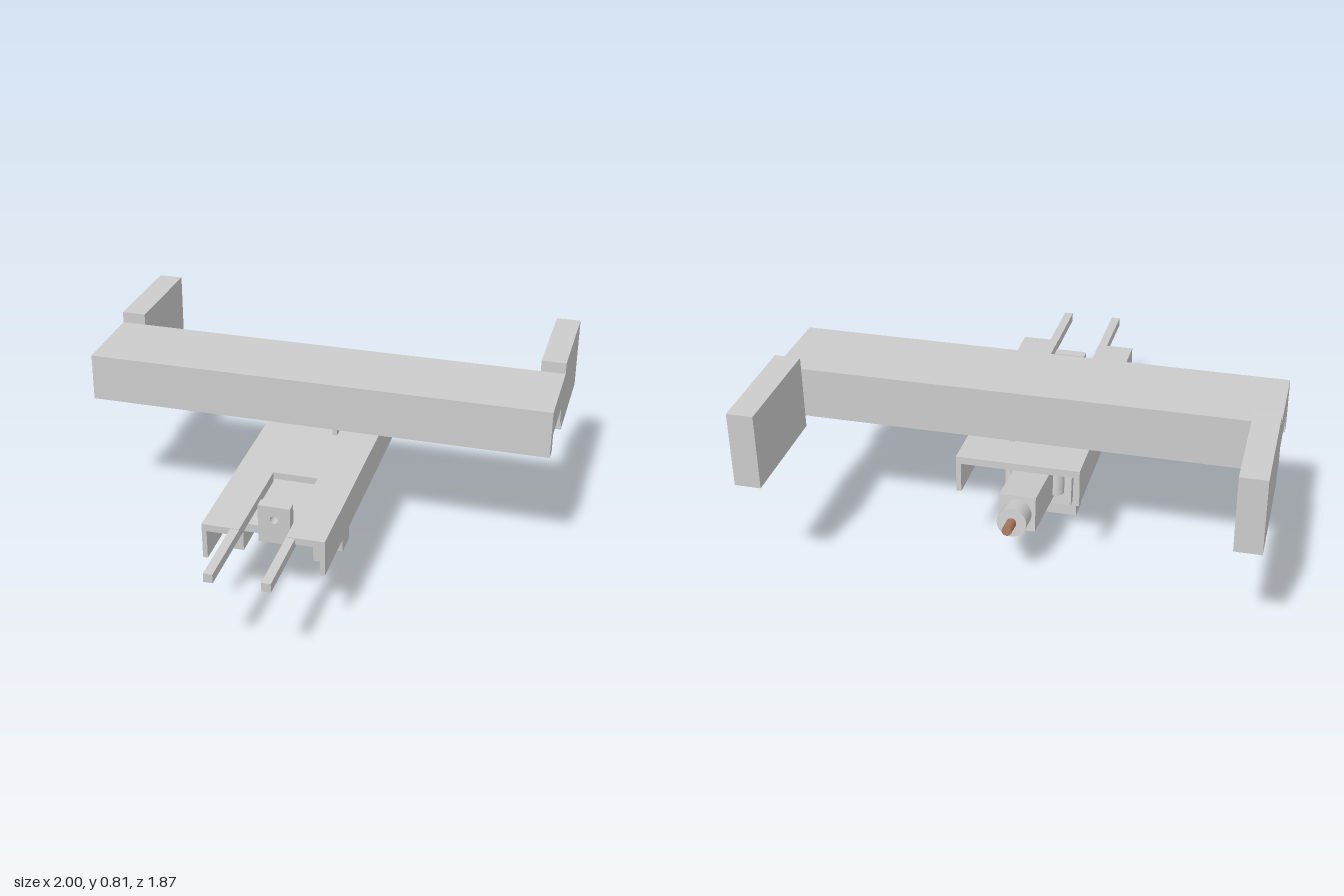
import * as THREE from 'three';

const steel = new THREE.MeshStandardMaterial({ color: 0xcccccc });
const rust = new THREE.MeshStandardMaterial({ color: 0xa87860 });

function add(parent, name, geometry, material = steel) {
  const mesh = new THREE.Mesh(geometry, material);
  mesh.name = name;
  parent.add(mesh);
  return mesh;
}

// Box given by its limits along each axis
function box(parent, name, [x0, x1], [y0, y1], [z0, z1]) {
  const mesh = add(parent, name, new THREE.BoxGeometry(x1 - x0, y1 - y0, z1 - z0));
  mesh.position.set((x0 + x1) / 2, (y0 + y1) / 2, (z0 + z1) / 2);
  return mesh;
}

// Cross-section in x and y, extruded from z0 to z1
function section(parent, name, points, z0, z1) {
  const shape = new THREE.Shape(points.map(([x, y]) => new THREE.Vector2(x, y)));
  const geometry = new THREE.ExtrudeGeometry(shape, { depth: z1 - z0, bevelEnabled: false });
  return add(parent, name, geometry.translate(0, 0, z0));
}

// Inverted U section, w is the half width
function channel(w, top, bottom, plate, wall) {
  return [[-w, top], [-w, bottom], [-w + wall, bottom], [-w + wall, top - plate],
    [w - wall, top - plate], [w - wall, bottom], [w, bottom], [w, top]];
}

// Upright lug plate with a round hole, lying in x and y, centred on z = 0
function lug(parent, name, w, y0, y1, holeY, holeR, depth) {
  const shape = new THREE.Shape([[-w, y0], [w, y0], [w, y1], [-w, y1]].map((p) => new THREE.Vector2(...p)));
  shape.holes.push(new THREE.Path().absarc(0, holeY, holeR, 0, Math.PI * 2, true));
  const geometry = new THREE.ExtrudeGeometry(shape, { depth, bevelEnabled: false, curveSegments: 12 });
  return add(parent, name, geometry.translate(0, 0, -depth / 2));
}

// Cylinder lying along z
function rod(parent, name, r, z0, z1, material) {
  const geometry = new THREE.CylinderGeometry(r, r, z1 - z0, 24).rotateX(Math.PI / 2);
  return add(parent, name, geometry.translate(0, 0, (z0 + z1) / 2), material);
}

export function createModel() {
  const model = new THREE.Group();
  model.name = 'crossbarAssembly';

  // Wide crossbar, open underneath, running along x
  const bar = section(model, 'crossbar', [[0.095, 0.55], [0.155, 0.55], [0.155, 0.63], [0.4, 0.63],
    [0.4, 0.55], [0.46, 0.55], [0.46, 0.763], [0.095, 0.755]], -1, 1);
  bar.rotation.y = Math.PI / 2;
  for (const s of [-1, 1]) {
    box(model, 'endArm', s < 0 ? [-1, -0.895] : [0.895, 1], [0.5, 0.812], [-0.935, -0.46]);
    box(model, 'crossbarTab', [s * 0.67 - 0.01, s * 0.67 + 0.01], [0.615, 0.632], [-0.35, -0.195]);
  }

  // Side lug between the crossbar and the main channel
  const pivot = lug(model, 'pivotLug', 0.075, 0.46, 0.6, 0.55, 0.024, 0.02);
  pivot.rotation.y = Math.PI / 2;
  pivot.position.set(0.067, 0, -0.273);

  // Main channel, slightly nose-down, with a slot open at the front
  const frame = new THREE.Group();
  frame.name = 'tiltedFrame';
  frame.position.y = 0.462;
  frame.rotation.x = 0.035;
  model.add(frame);
  section(frame, 'mainChannel', channel(0.25, 0, -0.155, 0.03, 0.02), -0.517, 0.17);
  for (const s of [-1, 1]) {
    const half = [[0.095, 0], [0.095, -0.03], [0.23, -0.03], [0.23, -0.155], [0.25, -0.155], [0.25, 0]];
    section(frame, 'channelSide', half.map(([x, y]) => [s * x, y]), 0.17, 0.62);
    box(frame, 'forkProng', s < 0 ? [-0.132, -0.095] : [0.095, 0.132], [-0.041, -0.003], [0.17, 0.935]);
  }

  // Lower channel and its front lug
  section(frame, 'lowerChannel', channel(0.197, -0.1, -0.23, 0.037, 0.05), -0.03, 0.425);
  lug(frame, 'frontLug', 0.067, -0.14, 0.028, -0.032, 0.017, 0.045).position.z = 0.45;

  // Hanging block below the frame
  const block = box(model, 'hangingBlock', [-0.155, 0.155], [0.003, 0.32], [-0.122, -0.017]);
  block.position.z = -0.066;
  block.rotation.x = 0.055;

  // Angled tube with a mounting plate, side pins, cap and tip
  const tube = new THREE.Group();
  tube.name = 'angledTube';
  tube.position.set(0, 0.203, -0.13);
  tube.rotation.x = 0.14;
  model.add(tube);
  box(tube, 'mountingPlate', [-0.14, 0.14], [-0.125, 0.115], [-0.02, 0.018]);
  box(tube, 'tubeBody', [-0.075, 0.075], [-0.072, 0.075], [-0.405, -0.01]);
  for (const s of [-1, 1]) {
    add(tube, 'sidePin', new THREE.CylinderGeometry(0.036, 0.036, 0.1, 20)).position.set(s * 0.08, -0.005, -0.055);
  }
  rod(tube, 'tubeCap', 0.06, -0.495, -0.4);
  rod(tube, 'capTip', 0.02, -0.57, -0.49, rust);

  return model;
}
